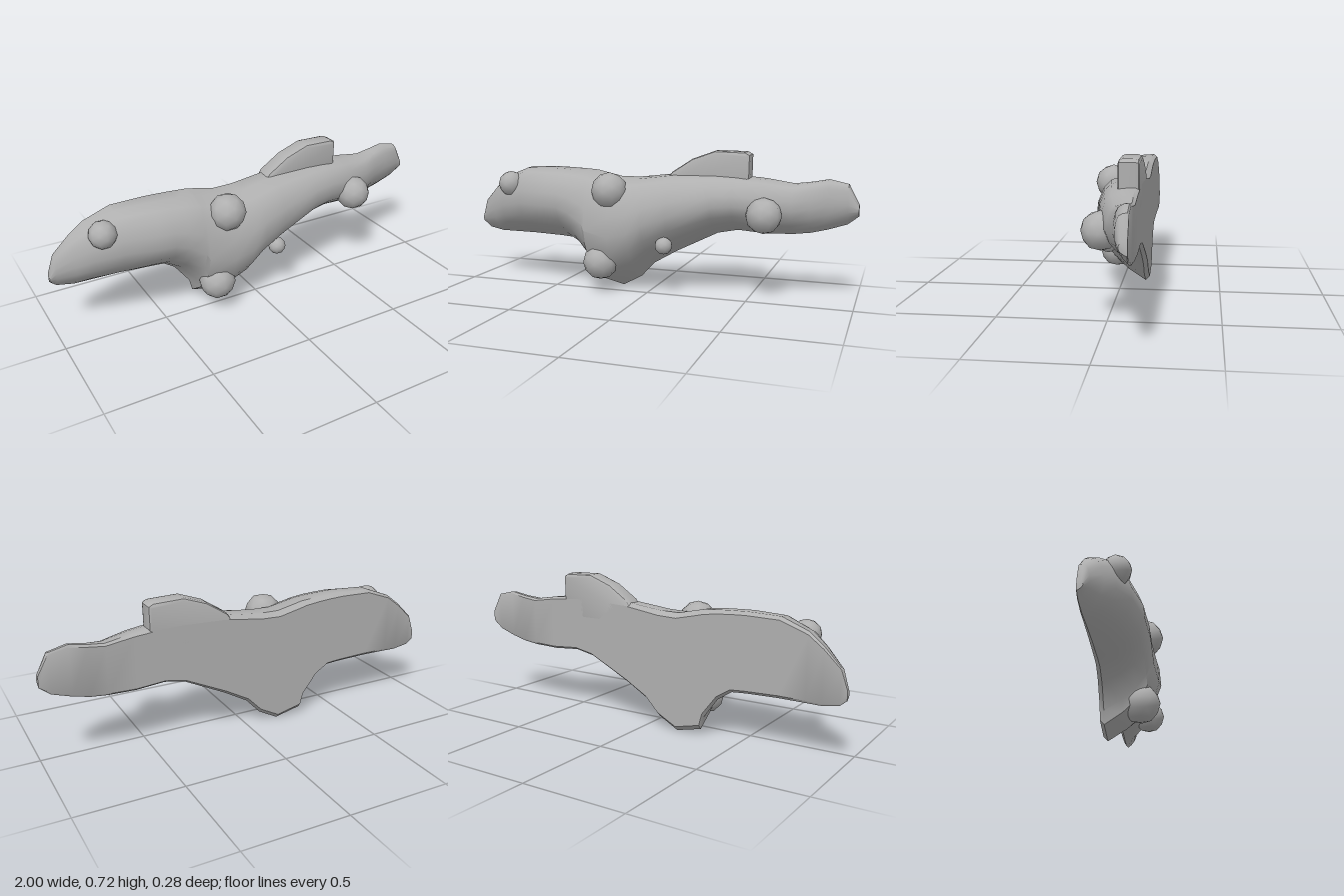
import * as THREE from 'three';
import { toCreasedNormals } from 'three/addons/utils/BufferGeometryUtils.js';

const BACK = -0.14;

// Stations along the body: x, bottom y, top y, front z
const STATIONS = [
  [-1, 0.285, 0.33, -0.115], [-0.97, 0.26, 0.42, -0.095], [-0.89, 0.245, 0.5, -0.05],
  [-0.82, 0.245, 0.555, -0.01], [-0.69, 0.245, 0.605, 0.04], [-0.53, 0.24, 0.61, 0.08],
  [-0.46, 0.235, 0.608, 0.085], [-0.39, 0.19, 0.605, 0.095], [-0.315, 0.09, 0.6, 0.1],
  [-0.3, 0.03, 0.598, 0.103], [-0.17, 0, 0.57, 0.118], [-0.07, 0.055, 0.572, 0.122],
  [0, 0.13, 0.58, 0.115], [0.12, 0.2, 0.595, 0.095], [0.33, 0.305, 0.6, 0.06],
  [0.43, 0.325, 0.597, 0.045], [0.57, 0.315, 0.585, 0.02], [0.7, 0.32, 0.565, -0.02],
  [0.78, 0.33, 0.575, -0.055], [0.86, 0.35, 0.59, -0.07], [0.95, 0.38, 0.57, -0.085],
  [1, 0.42, 0.475, -0.105],
];

// Cross-section from bottom to top over the front: height share, depth share
const SECTION = [
  [0.04, 0], [0, 0.08], [0.1, 0.42], [0.2, 0.66], [0.32, 0.87], [0.5, 1],
  [0.68, 0.97], [0.84, 0.86], [0.94, 0.7], [0.99, 0.42], [1, 0.1], [0.96, 0],
];

// Flat-backed body skinned over the stations, closed at both tips
function bodyGeometry() {
  const n = SECTION.length, last = STATIONS.length - 1;
  const pos = [], index = [];
  for (const [x, y0, y1, z] of STATIONS) {
    for (const [t, d] of SECTION) pos.push(x, y0 + t * (y1 - y0), BACK + d * (z - BACK));
  }
  for (let i = 0; i < last; i++) {
    for (let j = 0; j < n; j++) {
      const k = (j + 1) % n, a = i * n, b = a + n;
      index.push(a + j, b + j, b + k, a + j, b + k, a + k);
    }
  }
  for (let j = 1; j < n - 1; j++) {
    index.push(0, j, j + 1);
    index.push(last * n, last * n + j + 1, last * n + j);
  }
  const g = new THREE.BufferGeometry();
  g.setAttribute('position', new THREE.Float32BufferAttribute(pos, 3));
  g.setIndex(index);
  return toCreasedNormals(g, 0.7);
}

// Upper lobe: bevelled slab against the back plane
function lobeGeometry() {
  const outline = [[0.05, 0.5], [0.48, 0.5], [0.483, 0.69], [0.47, 0.697], [0.33, 0.7],
    [0.22, 0.66], [0.12, 0.595]].map(([x, y]) => new THREE.Vector2(x, y));
  const g = new THREE.ExtrudeGeometry(new THREE.Shape(outline), {
    depth: 0.055, bevelEnabled: true, bevelThickness: 0.02, bevelSize: 0.015, bevelSegments: 2,
  });
  g.translate(0, 0, BACK + 0.02);
  return toCreasedNormals(g, 0.7);
}

// Bumps: x, y, z, radius
const BUMPS = [
  [-0.765, 0.52, -0.02, 0.066], [-0.18, 0.515, 0.05, 0.09], [-0.235, 0.15, 0.037, 0.089],
  [0.58, 0.423, 0.015, 0.086], [0.1, 0.255, 0.045, 0.043],
];

export function createModel() {
  const group = new THREE.Group();
  group.name = 'lumpyRelief';
  const grey = new THREE.MeshStandardMaterial({ color: 0xb0b0b0 });
  grey.name = 'grey';

  const add = (name, geometry) => {
    const mesh = new THREE.Mesh(geometry, grey);
    mesh.name = name;
    group.add(mesh);
    return mesh;
  };

  add('body', bodyGeometry());
  add('upperLobe', lobeGeometry());
  BUMPS.forEach(([x, y, z, r], i) => {
    const bump = add(`bump${i + 1}`, new THREE.IcosahedronGeometry(r, 1));
    bump.position.set(x, y, z);
  });
  return group;
}
